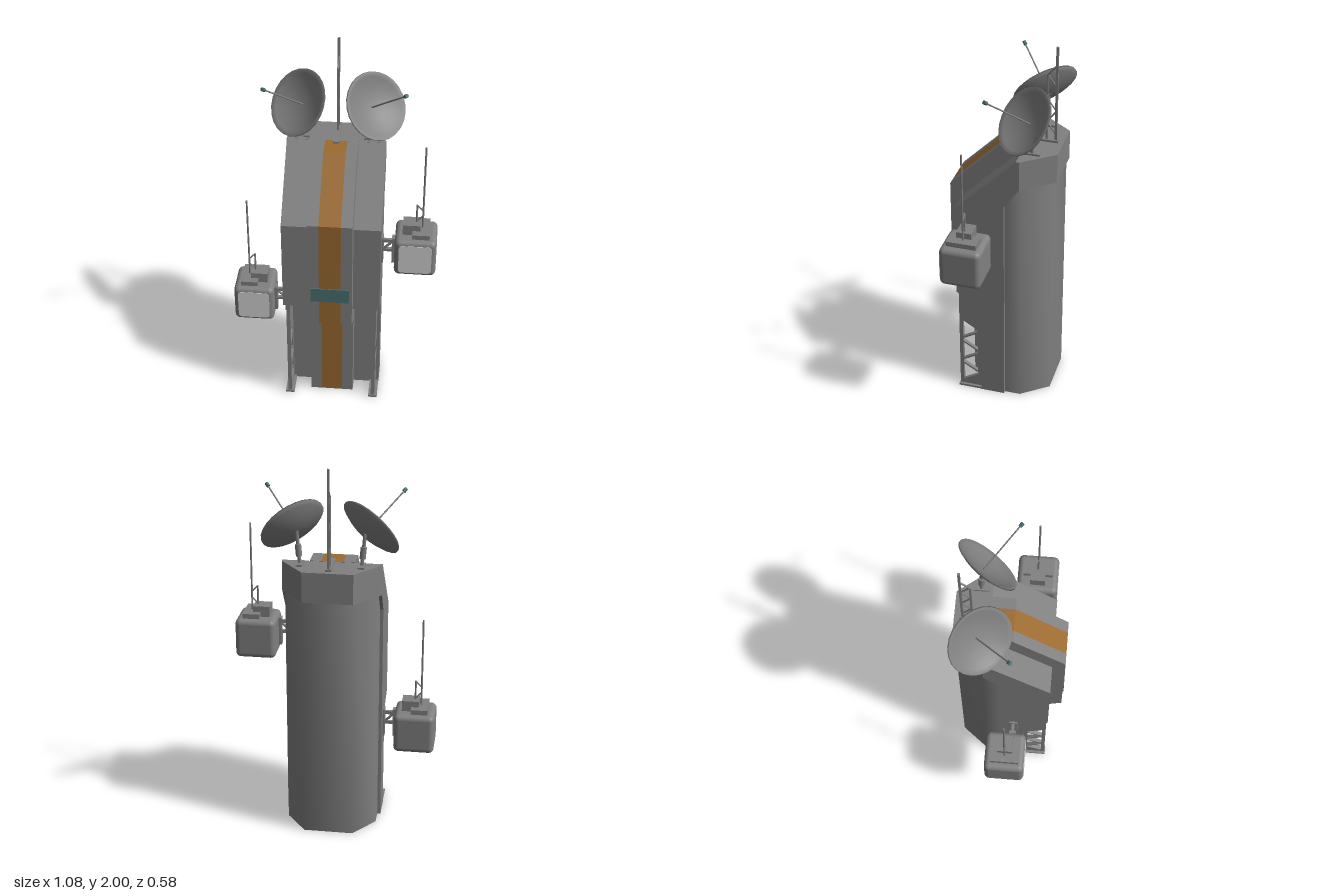
import * as THREE from 'three';
import { RoundedBoxGeometry } from 'three/addons/geometries/RoundedBoxGeometry.js';

const mat = (name, color, side = THREE.DoubleSide) => {
  const m = new THREE.MeshStandardMaterial({ color, side });
  m.name = name;
  return m;
};
const V = (x, y, z) => new THREE.Vector3(x, y, z);

export function createModel() {
  const hull = mat('hull grey', 0x808080);
  const orange = mat('stripe orange', 0x9c6a30);
  const teal = mat('window teal', 0x4a7072);
  const pale = mat('panel pale grey', 0xd2d2d2);
  const root = new THREE.Group();

  const add = (name, geo, m, parent = root) => {
    const mesh = new THREE.Mesh(geo, m);
    mesh.name = name;
    parent.add(mesh);
    return mesh;
  };
  const group = (name) => {
    const g = new THREE.Group();
    g.name = name;
    root.add(g);
    return g;
  };
  // box given by its low and high corners
  const block = (name, x0, x1, y0, y1, z0, z1, m, parent) =>
    add(name, new THREE.BoxGeometry(x1 - x0, y1 - y0, z1 - z0)
      .translate((x0 + x1) / 2, (y0 + y1) / 2, (z0 + z1) / 2), m, parent);
  // round bar between two points
  const bar = (name, a, b, r, m = hull, parent = root, sides = 8) => {
    const d = b.clone().sub(a);
    const mesh = add(name, new THREE.CylinderGeometry(r, r, d.length(), sides), m, parent);
    mesh.position.copy(a).addScaledVector(d, 0.5);
    mesh.quaternion.setFromUnitVectors(V(0, 1, 0), d.normalize());
    return mesh;
  };
  const toShape = (pts) => new THREE.Shape(pts.map((p) => new THREE.Vector2(...p)));
  // side profile (z, y) carried across from x0 to x1
  const across = (shape, x0, x1) =>
    new THREE.ExtrudeGeometry(shape, { depth: x1 - x0, bevelEnabled: false })
      .rotateY(-Math.PI / 2).translate(x1, 0, 0);
  // upright wall following a plan line (x, z)
  const wall = (pts, y0, y1, smooth) => {
    const pos = [], idx = [];
    pts.forEach(([x, z], i) => {
      pos.push(x, y0, z, x, y1, z);
      if (i) idx.push(2 * i - 2, 2 * i, 2 * i - 1, 2 * i, 2 * i + 1, 2 * i - 1);
    });
    let g = new THREE.BufferGeometry();
    g.setAttribute('position', new THREE.Float32BufferAttribute(pos, 3));
    g.setIndex(idx);
    if (!smooth) g = g.toNonIndexed();
    g.computeVertexNormals();
    return g;
  };

  // lower hull: hollow walls, open underneath
  const half = [[-0.24, -0.045], [-0.257, -0.045], [-0.257, 0.085], [-0.116, 0.085], [-0.116, 0.165], [-0.057, 0.165]];
  add('lowerHullRight', wall(half, 0, 0.575), hull);
  add('lowerHullLeft', wall(half.map(([x, z]) => [-x, z]).reverse(), 0, 0.575), hull);
  add('lowerStripe', wall([[-0.057, 0.165], [0.057, 0.165]], 0, 0.575), orange);

  // upper hull with sloped shoulders
  add('upperHull', across(toShape([[-0.045, 0.575], [0.085, 0.575], [0.217, 0.635], [0.217, 1.157],
    [-0.107, 1.479], [-0.125, 1.479], [-0.125, 1.32], [-0.045, 1.21]]), -0.257, 0.257), hull);

  // central rib in three strips, the middle one painted
  const rib = toShape([[0.1, 0.51], [0.165, 0.51], [0.284, 0.58], [0.284, 1.215],
    [0.015, 1.481], [-0.107, 1.481], [0.1, 1.2]]);
  add('ribRight', across(rib, -0.116, -0.057), hull);
  add('ribStripe', across(rib, -0.057, 0.057), orange);
  add('ribLeft', across(rib, 0.057, 0.116), hull);
  block('window', -0.1, 0.1, 0.73, 0.815, 0.281, 0.289, teal);

  // rear column and the cap above it
  add('rearColumn', wall([[0.24, -0.045], [0.24, -0.13], [0.13, -0.272],
    [-0.13, -0.272], [-0.24, -0.13], [-0.24, -0.045]], 0, 1.33, true), hull);
  const cap = toShape([[-0.257, 0.107], [0.257, 0.107], [0.257, 0.125], [0.13, 0.287], [-0.13, 0.287], [-0.257, 0.125]]);
  add('cap', new THREE.ExtrudeGeometry(cap, { depth: 0.16, bevelEnabled: false })
    .rotateX(-Math.PI / 2).translate(0, 1.32, 0), hull);

  // pierced front legs
  const leg = toShape([[0.085, 0], [0.21, 0], [0.21, 0.63], [0.085, 0.57]]);
  for (let i = 0; i < 5; i++) {
    const y = 0.06 + i * 0.073, [a, b] = i % 2 ? [0.108, 0.19] : [0.19, 0.108];
    leg.holes.push(new THREE.Path([[a, y - 0.022], [a, y + 0.088], [b, y + 0.04], [b, y + 0.026]]
      .map((p) => new THREE.Vector2(...p))));
  }
  for (const s of [-1, 1]) {
    const g = group(s > 0 ? 'leftLeg' : 'rightLeg');
    add('legPlate', across(leg, s * 0.231 - 0.01, s * 0.231 + 0.01), hull, g);
    block('foot', s * 0.231 - 0.024, s * 0.231 + 0.024, 0, 0.012, 0.085, 0.215, hull, g);
  }

  // dishes
  const n = 8, R = 0.178, depth = 0.045, profile = [];
  for (let i = 0; i <= n; i++) profile.push(new THREE.Vector2(R * i / n, depth * (i / n) ** 2 - 0.01));
  for (let i = n; i >= 0; i--) profile.push(new THREE.Vector2(R * 0.985 * i / n, depth * (i / n) ** 2));
  for (const s of [-1, 1]) {
    const g = group(s > 0 ? 'leftDish' : 'rightDish');
    const foot = V(s * 0.157, 1.48, -0.165), vertex = V(s * 0.177, 1.659, -0.156), tip = V(s * 0.352, 1.836, 0.018);
    const dir = V(s, 1, 1).normalize();
    const dish = add('reflector', new THREE.LatheGeometry(profile, 24), hull, g);
    dish.position.copy(vertex);
    dish.quaternion.setFromUnitVectors(V(0, 1, 0), dir);
    bar('feedArm', vertex, tip, 0.004, hull, g);
    bar('feedTip', tip.clone().addScaledVector(dir, -0.012), tip.clone().addScaledVector(dir, 0.008), 0.01, teal, g, 10);
    const back = vertex.clone().addScaledVector(dir, -0.008);
    bar('stand', foot, back, 0.009, hull, g);
    bar('standSleeve', foot.clone().lerp(back, 0.25), foot.clone().lerp(back, 0.6), 0.016, hull, g, 10);
    block('standBase', s * 0.157 - 0.016, s * 0.157 + 0.016, 1.48, 1.49, -0.205, -0.125, hull, g);
  }

  // top mast with ladder bracing
  const mast = group('mast');
  block('mastBase', -0.015, 0.015, 1.48, 1.491, -0.26, -0.078, hull, mast);
  block('mastPole', -0.006, 0.006, 1.48, 2, -0.251, -0.239, hull, mast);
  block('mastBrace', -0.005, 0.005, 1.48, 1.85, -0.202, -0.192, hull, mast);
  bar('mastTie', V(0, 1.847, -0.197), V(0, 1.9, -0.245), 0.005, hull, mast);
  for (let i = 0; i < 5; i++) {
    const y = 1.52 + i * 0.066;
    bar('mastRung', V(0, y, i % 2 ? -0.197 : -0.245), V(0, y + 0.066, i % 2 ? -0.245 : -0.197), 0.004, hull, mast);
  }

  // side pods, built facing +x and mirrored by s
  const pane = new THREE.Shape(), h = 0.085, r = 0.022;
  pane.moveTo(-h + r, -h).lineTo(h - r, -h).quadraticCurveTo(h, -h, h, -h + r)
    .lineTo(h, h - r).quadraticCurveTo(h, h, h - r, h)
    .lineTo(-h + r, h).quadraticCurveTo(-h, h, -h, h - r)
    .lineTo(-h, -h + r).quadraticCurveTo(-h, -h, -h + r, -h);
  for (const [s, y, z] of [[1, 0.982, 0.105], [-1, 0.528, -0.003]]) {
    const g = group(s > 0 ? 'leftPod' : 'rightPod');
    g.position.set(s * 0.433, y, z);
    const sideBlock = (name, a, b, ...rest) => block(name, Math.min(s * a, s * b), Math.max(s * a, s * b), ...rest, hull, g);
    add('podBody', new RoundedBoxGeometry(0.216, 0.216, 0.216, 4, 0.028), hull, g);
    add('podPanel', new THREE.ExtrudeGeometry(pane, { depth: 0.006, bevelEnabled: false, curveSegments: 5 })
      .translate(0, 0, 0.104), pale, g);
    sideBlock('podSlab', -0.02, 0.07, 0.1, 0.134, -0.078, 0.078);
    sideBlock('podBlock', -0.07, 0.02, 0.1, 0.166, -0.04, 0.04);
    // whip antenna with a short braced post
    const ax = s * 0.031, px = s * -0.001;
    bar('whip', V(ax, 0.13, 0), V(ax, 0.618, 0), 0.005, hull, g);
    bar('whipPost', V(px, 0.16, 0), V(px, 0.27, 0), 0.005, hull, g);
    bar('whipTie', V(px, 0.27, 0), V(ax, 0.235, 0), 0.004, hull, g);
    bar('whipTie', V(px, 0.17, 0), V(ax, 0.205, 0), 0.004, hull, g);
    // bracket to the hull
    sideBlock('hullPlate', -0.18, -0.166, -0.07, 0.085, 0.01, 0.054);
    sideBlock('podPlate', -0.123, -0.104, -0.07, 0.085, 0.014, 0.05);
    sideBlock('bracketArm', -0.17, -0.11, 0.052, 0.07, 0.024, 0.04);
    sideBlock('bracketArm', -0.17, -0.11, -0.005, 0.011, 0.024, 0.04);
    bar('bracketBrace', V(s * -0.17, 0.003, 0.032), V(s * -0.115, 0.06, 0.032), 0.007, hull, g);
  }
  return root;
}
